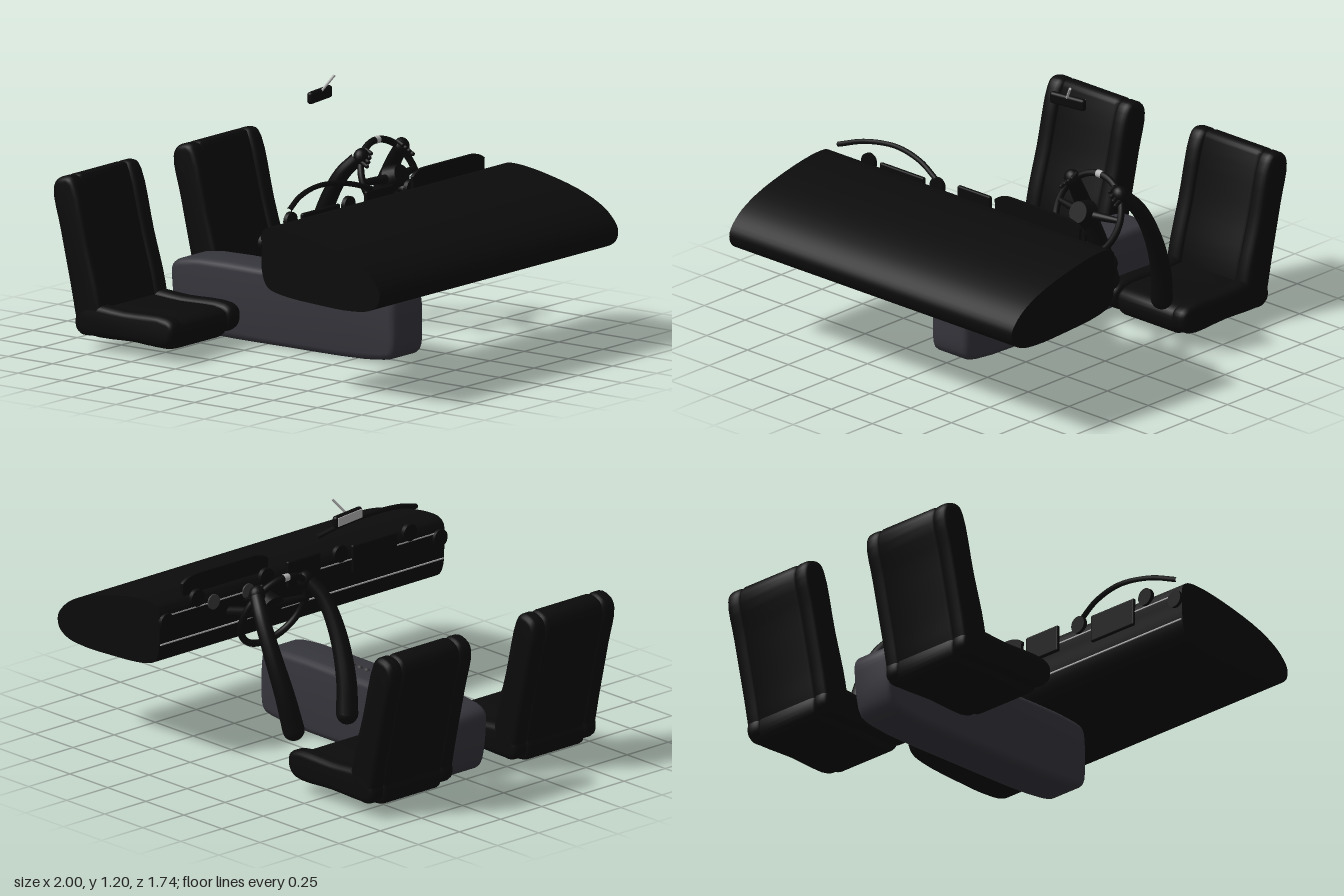
import * as THREE from 'three';
import { toCreasedNormals } from 'three/addons/utils/BufferGeometryUtils.js';
import { RoundedBoxGeometry } from 'three/addons/geometries/RoundedBoxGeometry.js';

const mat = (name, color) => new THREE.MeshStandardMaterial({ name, color });
const V = (x, y, z) => new THREE.Vector3(x, y, z);

export function createModel() {
  const root = new THREE.Group();
  root.name = 'carInterior';
  const black = mat('black', 0x0b0b0b);
  const charcoal = mat('charcoal', 0x35353c);
  const grey = mat('grey', 0x3a3a3a);
  const silver = mat('silver', 0xb4b4b4);

  const add = (name, geometry, material, parent = root) => {
    const mesh = new THREE.Mesh(geometry, material);
    mesh.name = name;
    parent.add(mesh);
    return mesh;
  };

  // Side profile in x/y, extruded between two z values with rounded edges
  const slab = (points, z0, z1, bevel) => {
    const curve = new THREE.CatmullRomCurve3(points.map(([x, y]) => V(x, y, 0)), true, 'centripetal');
    const shape = new THREE.Shape(curve.getPoints(points.length * 4).slice(0, -1).map(p => new THREE.Vector2(p.x, p.y)));
    const g = new THREE.ExtrudeGeometry(shape, {
      depth: z1 - z0 - 2 * bevel, bevelEnabled: bevel > 0, bevelThickness: bevel,
      bevelSize: bevel, bevelOffset: -bevel, bevelSegments: 3
    });
    g.translate(0, 0, z0 + bevel);
    return toCreasedNormals(g, 0.7);
  };

  // Rod between two points
  const rod = (name, a, b, r0, r1, material, parent) => {
    const m = add(name, new THREE.CylinderGeometry(r1, r0, a.distanceTo(b), 20), material, parent);
    m.position.copy(a).lerp(b, 0.5);
    m.quaternion.setFromUnitVectors(V(0, 1, 0), b.clone().sub(a).normalize());
    return m;
  };

  // Dashboard
  add('dashboard', slab([[0.33, 0.72], [0.36, 0.745], [0.43, 0.75], [0.6, 0.725], [0.82, 0.665], [0.94, 0.6],
    [0.995, 0.53], [0.985, 0.475], [0.93, 0.44], [0.82, 0.427], [0.68, 0.43], [0.43, 0.45], [0.36, 0.475],
    [0.333, 0.53], [0.327, 0.63]], -0.865, 0.865, 0), black);
  for (const y of [0.56, 0.69]) {
    add('dashboardTrim', new THREE.BoxGeometry(0.008, 0.006, 1.72), silver).position.set(0.327, y, 0);
  }

  // Vents, centre screen and glovebox on the cabin face
  for (const [z, y] of [[0.645, 0.735], [0.225, 0.735], [-0.225, 0.735], [-0.645, 0.735], [0.83, 0.665], [-0.83, 0.665]]) {
    const vent = add('airVent', new THREE.CylinderGeometry(0.04, 0.04, 0.02, 24), black);
    vent.rotation.z = Math.PI / 2;
    vent.position.set(0.32, y, z);
  }
  add('centreScreen', new RoundedBoxGeometry(0.02, 0.125, 0.2, 3, 0.008), black).position.set(0.318, 0.712, 0);
  add('glovebox', new RoundedBoxGeometry(0.02, 0.13, 0.27, 3, 0.008), black).position.set(0.325, 0.69, 0.435);

  // Instrument panel with dials
  const panelShape = new THREE.Shape();
  panelShape.moveTo(-0.685, 0.62);
  panelShape.lineTo(-0.695, 0.8);
  panelShape.quadraticCurveTo(-0.66, 0.83, -0.6, 0.83);
  panelShape.lineTo(-0.27, 0.83);
  panelShape.quadraticCurveTo(-0.21, 0.83, -0.175, 0.8);
  panelShape.lineTo(-0.185, 0.62);
  const panel = new THREE.ExtrudeGeometry(panelShape, { depth: 0.016, bevelEnabled: false });
  panel.rotateY(-Math.PI / 2);
  panel.translate(0.374, 0, 0);
  add('instrumentPanel', panel, black);
  for (const z of [-0.54, -0.33]) {
    const dial = add('dial', new THREE.CylinderGeometry(0.035, 0.035, 0.008, 28), grey);
    dial.rotation.z = Math.PI / 2;
    dial.position.set(0.323, 0.69, z);
  }

  // Curved passenger grip
  const grip = new THREE.CatmullRomCurve3([V(0.4, 0.81, 0.16), V(0.365, 0.85, 0.29), V(0.345, 0.868, 0.46),
    V(0.365, 0.85, 0.63), V(0.4, 0.81, 0.76)]);
  add('passengerGrip', new THREE.TubeGeometry(grip, 32, 0.012, 8), black);

  // Centre console
  add('console', slab([[-0.78, 0.22], [-0.775, 0.3], [-0.72, 0.333], [-0.15, 0.345], [0.41, 0.338], [0.472, 0.315],
    [0.49, 0.18], [0.475, 0.04], [0.41, 0.015], [-0.14, 0], [-0.66, 0.012], [-0.74, 0.04]],
    -0.112, 0.112, 0.03), charcoal);
  for (let i = 0; i < 5; i++) {
    add('consoleButton', new THREE.SphereGeometry(0.014, 12, 8), grey).position.set(-0.1 + i * 0.046, 0.344, 0);
  }

  // Seats, each with a middle section and two side bolsters
  for (const side of [-1, 1]) {
    const seat = new THREE.Group();
    seat.name = side < 0 ? 'driverSeat' : 'passengerSeat';
    seat.position.z = side * 0.435;
    root.add(seat);
    for (const [z0, z1, mid] of [[-0.18, 0.18, 1], [-0.252, -0.168, 0], [0.168, 0.252, 0]]) {
      const f = mid ? -0.335 : -0.32, b = mid ? 0.048 : 0.07, t = mid ? 0.185 : 0.2;
      add(mid ? 'seatCushion' : 'cushionBolster', slab([[-0.87, b + 0.02], [-0.875, 0.14], [-0.84, t], [-0.6, t],
        [f - 0.04, t - 0.003], [f, t - 0.03], [f, b + 0.04], [f - 0.04, b], [-0.6, b], [-0.84, b]], z0, z1, 0.025), black, seat);
      const d = mid ? 0.015 : 0;
      add(mid ? 'seatBack' : 'backBolster', slab([[-0.87, 0.13], [-0.9, 0.27], [-0.96, 0.53], [-1, 0.71], [-0.975, 0.76],
        [-0.905, 0.775], [-0.87 - d, 0.735], [-0.8 - d, 0.47], [-0.735 - d, 0.24], [-0.725 - d, 0.13], [-0.78, 0.07], [-0.85, 0.07]],
        z0, z1, 0.025), black, seat);
    }
  }

  // Steering wheel, tilted so its axis follows the column
  const wheel = new THREE.Group();
  wheel.name = 'steeringWheel';
  wheel.position.set(0.04, 0.7, -0.435);
  wheel.rotation.set(0, Math.PI / 2, 0);
  const tilt = new THREE.Group();
  tilt.name = 'tiltedWheel';
  tilt.rotation.x = -0.418;
  wheel.add(tilt);
  root.add(wheel);
  add('wheelRim', new THREE.TorusGeometry(0.188, 0.016, 12, 56), black, tilt);
  add('rimMarker', new THREE.TorusGeometry(0.188, 0.0175, 12, 4, 0.16), silver, tilt).rotation.z = Math.PI / 2 - 0.08;
  for (const a of [0.1, Math.PI - 0.1, -Math.PI / 2]) {
    rod('wheelSpoke', V(0, 0, 0.03), V(Math.cos(a) * 0.185, Math.sin(a) * 0.185, 0), 0.024, 0.014, black, tilt);
  }
  rod('wheelHub', V(0, 0, 0.01), V(0, 0, 0.075), 0.065, 0.05, black, tilt);
  rod('steeringColumn', V(0.07, 0.68, -0.435), V(0.36, 0.61, -0.435), 0.024, 0.024, black);

  // Driver's arms, tapering tubes that end in hands on the rim
  for (const side of [-1, 1]) {
    const z = d => -0.435 + side * d;
    const path = new THREE.CatmullRomCurve3([V(-0.265, 0.25, z(0.163)), V(-0.235, 0.4, z(0.185)),
      V(-0.165, 0.59, z(0.2)), V(-0.085, 0.74, z(0.19)), V(-0.02, 0.815, z(0.16))]);
    const arm = new THREE.TubeGeometry(path, 30, 1, 16);
    const p = arm.attributes.position, c = V(), v = V();
    for (let i = 0; i < p.count; i++) {
      const t = Math.floor(i / 17) / 30;
      path.getPointAt(t, c);
      v.fromBufferAttribute(p, i).sub(c).multiplyScalar(0.05 - 0.018 * t).add(c);
      p.setXYZ(i, v.x, v.y, v.z);
    }
    add('arm', arm, black);
    const end = add('armEnd', new THREE.SphereGeometry(0.05, 16, 12), black);
    end.position.set(-0.265, 0.25, z(0.163));
    const hand = add('hand', new THREE.SphereGeometry(1, 18, 12), black);
    hand.scale.set(0.035, 0.042, 0.04);
    hand.position.set(-0.008, 0.82, z(0.145));
    for (let i = 0; i < 4; i++) {
      const finger = add('finger', new THREE.CapsuleGeometry(0.01, 0.03, 4, 8), black);
      finger.rotation.z = 1.1;
      finger.position.set(0.008 + i * 0.006, 0.843 - i * 0.016, z(0.115 + i * 0.017));
    }
  }

  // Rear-view mirror
  const mirror = new THREE.Group();
  mirror.name = 'rearViewMirror';
  mirror.position.set(-0.133, 1.114, -0.148);
  mirror.rotation.y = 0.14;
  root.add(mirror);
  add('mirrorHousing', new RoundedBoxGeometry(0.03, 0.056, 0.19, 4, 0.014), black, mirror);
  add('mirrorGlass', new RoundedBoxGeometry(0.006, 0.042, 0.17, 3, 0.003), silver, mirror).position.x = -0.0145;
  rod('mirrorStem', V(-0.125, 1.13, -0.148), V(-0.09, 1.2, -0.2), 0.006, 0.006, silver);

  return root;
}
